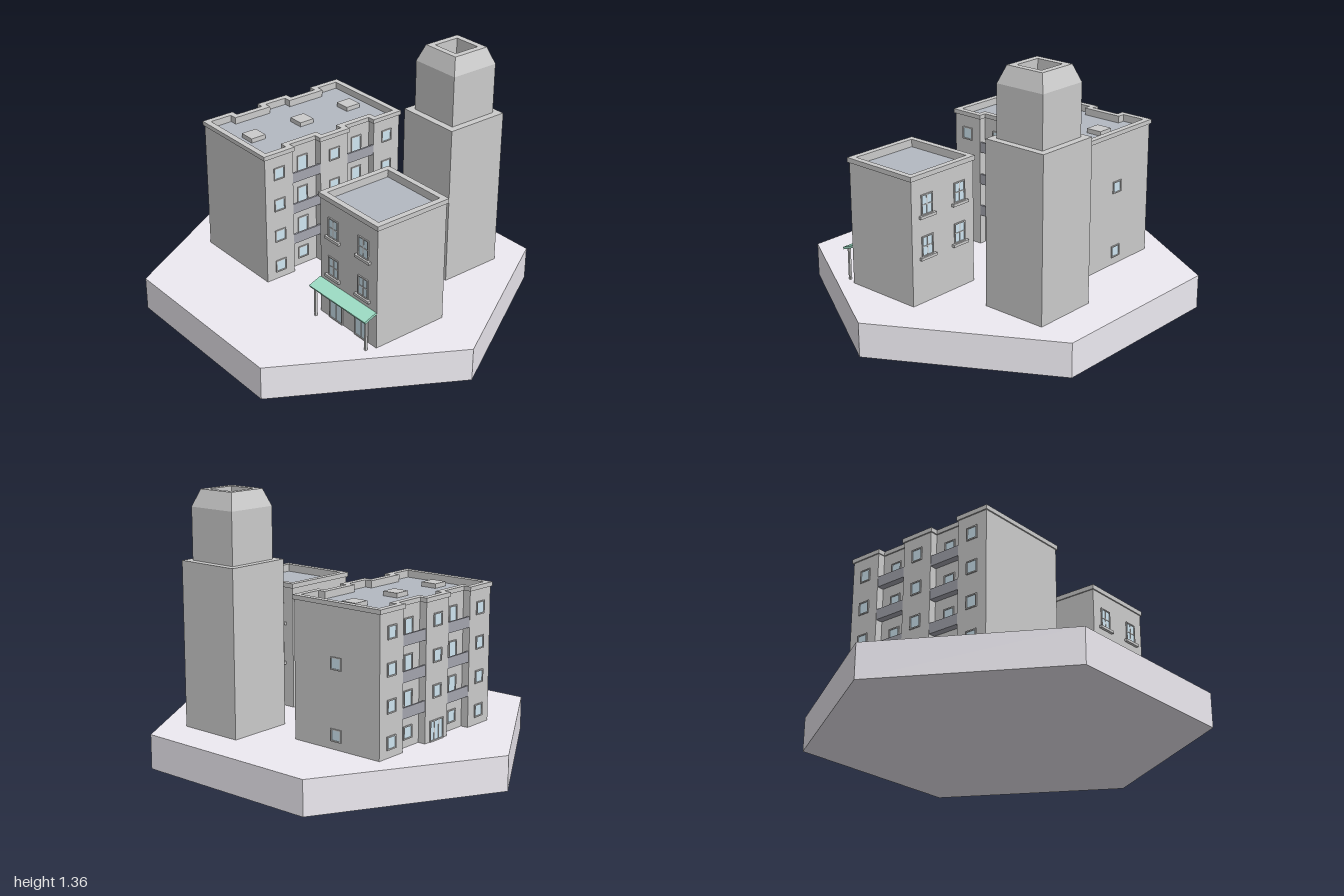
import * as THREE from 'three';

const mat = (color) => new THREE.MeshStandardMaterial({ color, flatShading: true });
const WALL = mat(0xcccccc), BASE = mat(0xeeebf2), ROOF = mat(0xb4b9c2), RAIL = mat(0xa4a5af);
const GLASS = mat(0xcfe6f2), AWNING = mat(0x9fe0c8);
const GROUND = 0.175;

function add(parent, name, geo, material, x = 0, y = 0, z = 0) {
  const m = new THREE.Mesh(geo, material);
  m.name = name;
  m.position.set(x, y, z);
  parent.add(m);
  return m;
}
const box = (w, h, d) => new THREE.BoxGeometry(w, h, d);

// Raises a plan outline (x, -z) from y0 to y1, optionally with a hole
function prism(pts, y0, y1, hole) {
  const shape = new THREE.Shape(pts.map((p) => new THREE.Vector2(...p)));
  if (hole) shape.holes.push(new THREE.Path(hole.map((p) => new THREE.Vector2(...p))));
  const geo = new THREE.ExtrudeGeometry(shape, { depth: y1 - y0, bevelEnabled: false });
  return geo.rotateX(-Math.PI / 2).translate(0, y0, 0);
}
const rect = (a, b) => [[-a, -b], [a, -b], [a, b], [-a, b]];

// Framed glass opening facing +z; cols and rows split the pane
function opening(parent, name, w, h, { cols = 1, rows = 1, sill = false } = {}) {
  const g = new THREE.Group();
  g.name = name;
  const t = 0.006;
  const frame = new THREE.Shape(rect(w / 2, h / 2).map((p) => new THREE.Vector2(...p)));
  frame.holes.push(new THREE.Path(rect(w / 2 - t, h / 2 - t).map((p) => new THREE.Vector2(...p))));
  add(g, 'frame', new THREE.ExtrudeGeometry(frame, { depth: 0.006, bevelEnabled: false }), WALL);
  add(g, 'glass', box(w - t, h - t, 0.003), GLASS);
  for (let i = 1; i < cols; i++) add(g, 'mullion', box(0.005, h - t, 0.008), WALL, -w / 2 + (w * i) / cols);
  for (let i = 1; i < rows; i++) add(g, 'crossbar', box(w - t, 0.005, 0.008), WALL, 0, -h / 2 + (h * i) / rows);
  if (sill) add(g, 'sill', box(w + 0.03, 0.014, 0.022), WALL, 0, -h / 2 - 0.005, 0.004);
  parent.add(g);
  return g;
}

// Walls, parapet and sunken roof shared by both buildings
function shell(g, outline, top, cap, roofY) {
  add(g, 'walls', prism(outline(0), GROUND, top - cap, outline(-0.022)), WALL);
  add(g, 'parapet', prism(outline(0.007), top - cap, top, outline(-0.024)), WALL);
  add(g, 'roof', prism(outline(-0.021), roofY - 0.03, roofY), ROOF);
}

function apartments() {
  const g = new THREE.Group();
  g.name = 'apartmentBlock';
  const HX = 0.43, HZ = 0.26, A = 0.087, B = 0.26, DEPTH = 0.04;

  // Plan with two balcony recesses on each long side
  const outline = (o) => {
    const X = HX + o, Z = HZ + o, a = A + o, b = B - o, d = Z - DEPTH;
    const side = [[X, Z], [b, Z], [b, d], [a, d], [a, Z], [-a, Z], [-a, d], [-b, d], [-b, Z], [-X, Z]];
    return [...side, ...side.map(([x, z]) => [-x, -z])];
  };
  shell(g, outline, 0.885, 0.022, 0.848);

  // Roof hatches
  for (const x of [-0.305, 0, 0.305]) add(g, 'roofHatch', box(0.085, 0.024, 0.085), WALL, x, 0.859, -0.005);

  // Both long facades
  for (const turn of [0, Math.PI]) {
    const f = new THREE.Group();
    f.name = turn ? 'backFacade' : 'frontFacade';
    f.rotation.y = turn;
    g.add(f);
    for (let i = 0; i < 4; i++) {
      const y = 0.247 + 0.174 * i;
      for (const s of [-1, 1]) {
        opening(f, 'window', 0.064, 0.066).position.set(s * 0.345, y, HZ);
        const x = s * (A + B) / 2, z = HZ - DEPTH;
        if (i === 0) {
          opening(f, 'window', 0.064, 0.066).position.set(x, y, z);
          continue;
        }
        opening(f, 'balconyDoor', 0.064, 0.115).position.set(x, y - 0.025, z);
        add(f, 'balconyFloor', box(B - A, 0.012, DEPTH - 0.004), RAIL, x, y - 0.08, HZ - DEPTH / 2);
        add(f, 'balconyRail', box(B - A, 0.054, 0.01), RAIL, x, y - 0.059, HZ - 0.007);
      }
      if (i > 0) opening(f, 'window', 0.064, 0.066).position.set(0, y, HZ);
    }
    opening(f, 'entranceDoor', 0.105, 0.105, { cols: 3 }).position.set(0, GROUND + 0.0525, HZ);
  }

  // End wall windows
  for (const y of [0.245, 0.592]) {
    const w = opening(g, 'endWindow', 0.064, 0.062);
    w.position.set(HX, y, 0);
    w.rotation.y = Math.PI / 2;
  }
  g.position.set(0.03, 0, -0.342);
  return g;
}

function shop() {
  const g = new THREE.Group();
  g.name = 'shopBuilding';
  const H = 0.209;
  shell(g, (o) => rect(H + o, H + o), 0.83, 0.024, 0.79);

  // Sash windows on both sides
  for (const s of [-1, 1]) for (const z of [-0.11, 0.11]) for (const y of [0.463, 0.672]) {
    const w = opening(g, 'sashWindow', 0.074, 0.104, { cols: 2, rows: 2, sill: true });
    w.position.set(s * H, y, z);
    w.rotation.y = s * Math.PI / 2;
  }

  // Shopfront, awning and posts
  for (const z of [-0.09, 0.1]) {
    const d = opening(g, 'shopDoor', 0.1, 0.12, { cols: 2 });
    d.position.set(-H, GROUND + 0.06, z);
    d.rotation.y = -Math.PI / 2;
  }
  add(g, 'awning', box(0.074, 0.012, 0.418), AWNING, -H - 0.036, 0.354, 0).rotation.z = 0.367;
  for (const z of [-0.19, 0.19]) add(g, 'awningPost', box(0.011, 0.17, 0.011), WALL, -H - 0.048, GROUND + 0.085, z);
  g.position.set(-0.14, 0, 0.5);
  return g;
}

// Square stepped tower with an open flue
function tower() {
  const profile = [[0.1725, GROUND], [0.1725, 1.01], [0.136, 1.01], [0.136, 1.27], [0.104, 1.355],
    [0.072, 1.355], [0.072, 1.2], [0, 1.2]];
  const pts = profile.map(([r, y]) => new THREE.Vector2(r * Math.SQRT2, y));
  const geo = new THREE.LatheGeometry(pts, 4, Math.PI / 4).toNonIndexed();
  geo.computeVertexNormals();
  const m = new THREE.Mesh(geo, WALL);
  m.name = 'chimneyTower';
  m.position.set(0.4865, 0, 0.296);
  return m;
}

export function createModel() {
  const model = new THREE.Group();
  model.name = 'cityTile';
  add(model, 'hexagonBase', new THREE.CylinderGeometry(1, 1, GROUND, 6), BASE, 0, GROUND / 2, 0);
  model.add(apartments(), shop(), tower());
  return model;
}
